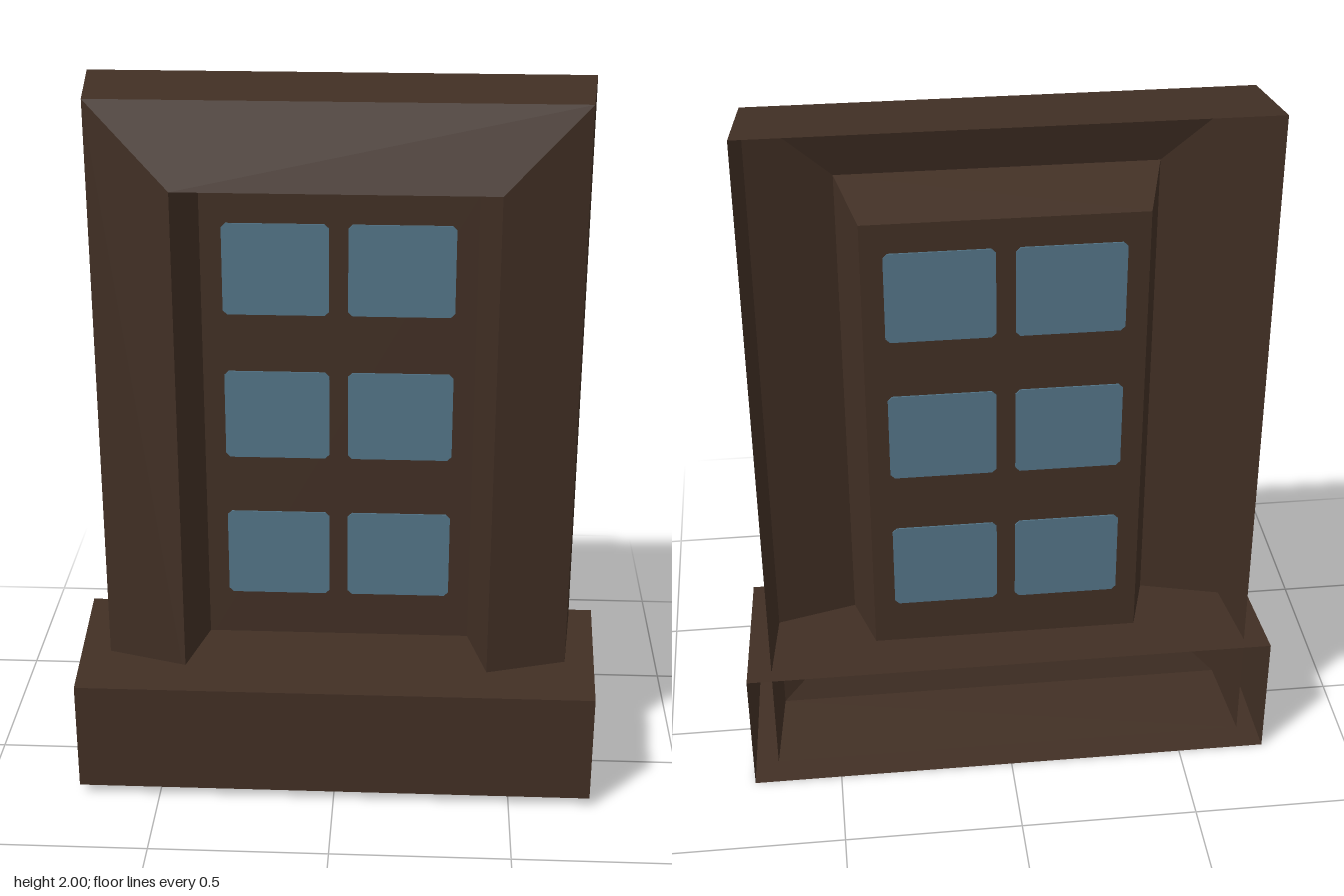
import * as THREE from 'three';

// Corners of a rectangle at depth z, counter-clockwise from the front
const ring = (halfWidth, bottom, top, z) => [
  [-halfWidth, bottom, z], [halfWidth, bottom, z],
  [halfWidth, top, z], [-halfWidth, top, z],
];

// Open-backed shell through a row of rectangles, closed by the last one
function shell(rings) {
  const pos = [];
  const quad = (a, b, c, d) => pos.push(...a, ...b, ...c, ...a, ...c, ...d);
  for (let r = 0; r < rings.length - 1; r++) {
    const a = rings[r], b = rings[r + 1];
    for (let i = 0; i < 4; i++) {
      const j = (i + 1) % 4;
      quad(a[i], a[j], b[j], b[i]);
    }
  }
  quad(...rings[rings.length - 1]);
  const geo = new THREE.BufferGeometry();
  geo.setAttribute('position', new THREE.Float32BufferAttribute(pos, 3));
  geo.computeVertexNormals();
  return geo;
}

// Thin plate with clipped corners, centred on its own origin
function paneGeometry(w, h, c, depth) {
  const x = w / 2, y = h / 2;
  const shape = new THREE.Shape([
    [-x + c, -y], [x - c, -y], [x, -y + c], [x, y - c],
    [x - c, y], [-x + c, y], [-x, y - c], [-x, -y + c],
  ].map(p => new THREE.Vector2(...p)));
  return new THREE.ExtrudeGeometry(shape, { depth, bevelEnabled: false })
    .translate(0, 0, -depth / 2);
}

export function createModel() {
  const wood = new THREE.MeshStandardMaterial({ color: 0x412f24, side: THREE.DoubleSide });
  wood.name = 'dark wood';
  const glass = new THREE.MeshStandardMaterial({ color: 0x537487 });
  glass.name = 'blue glass';

  const model = new THREE.Group();
  model.name = 'window';
  const add = (name, geo, mat, parent = model) => {
    const mesh = new THREE.Mesh(geo, mat);
    mesh.name = name;
    parent.add(mesh);
    return mesh;
  };

  // Frame: outer wall, sloped face, then the recess back to the window board
  add('frame', shell([
    ring(0.68, 0.04, 2.0, -0.2),
    ring(0.655, 0.06, 1.98, 0.045),
    ring(0.43, 0.285, 1.755, 0.11),
    ring(0.377, 0.34, 1.7, -0.08),
  ]), wood);

  // Sill: tapered box, open at the back
  add('sill', shell([
    ring(0.75, 0, 0.375, -0.24),
    ring(0.73, 0.028, 0.35, 0.24),
  ]), wood);

  // Six panes, showing on both sides of the window board
  const panes = new THREE.Group();
  panes.name = 'panes';
  model.add(panes);
  const geo = paneGeometry(0.292, 0.26, 0.012, 0.008);
  for (const y of [0.63, 1.06, 1.487]) {
    for (const x of [-0.172, 0.172]) {
      add('pane', geo, glass, panes).position.set(x, y, -0.08);
    }
  }
  return model;
}
